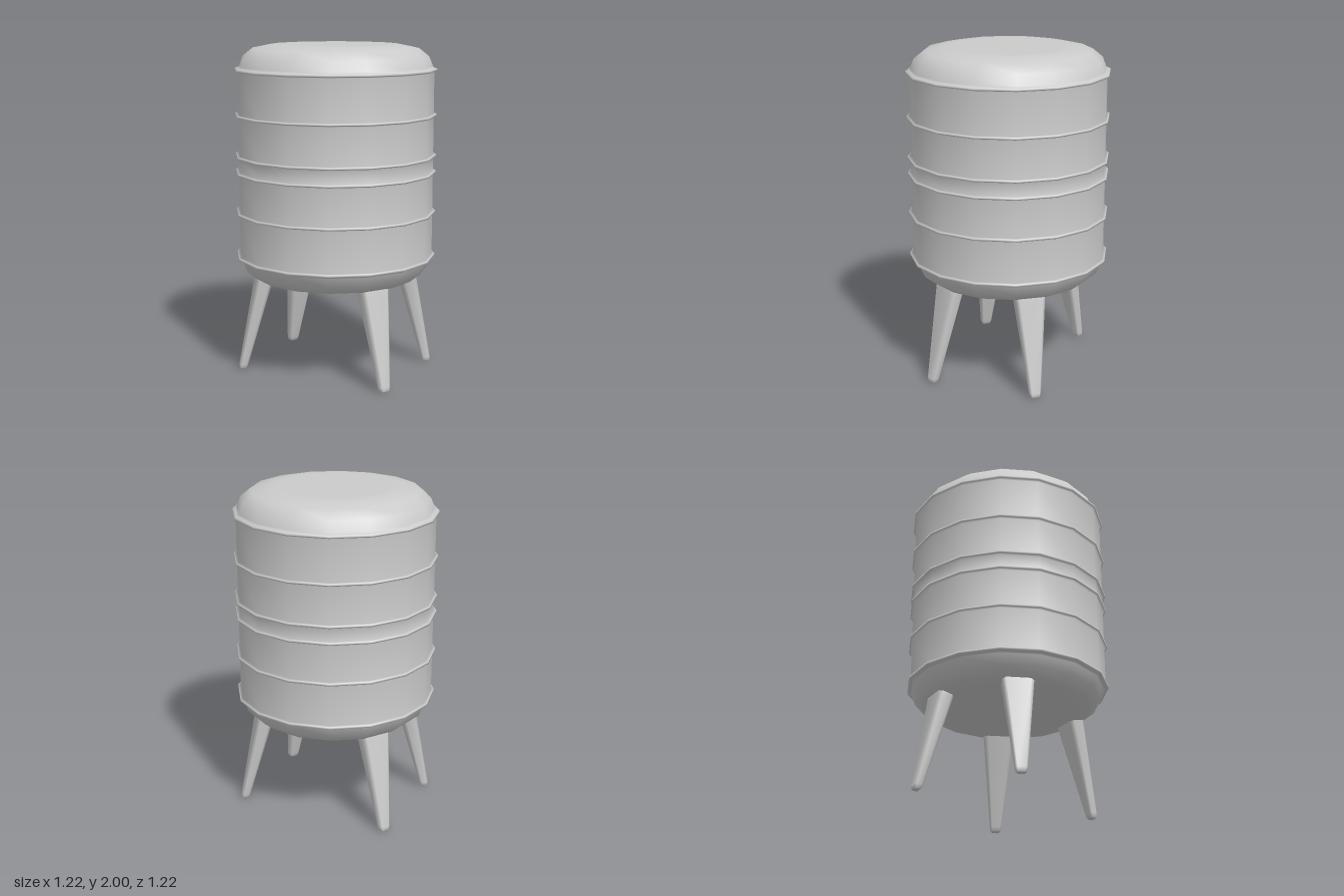
import * as THREE from 'three';

const material = new THREE.MeshStandardMaterial({ color: 0xcccccc });

// Sixteen-sided drum: rounded underside, banded wall and domed lid in one profile
function drumGeometry() {
  const wall = 0.593, rim = 0.61;
  const profile = [[0, 0.565], [0.3, 0.565], [0.41, 0.572], [0.5, 0.592], [0.56, 0.64], [0.583, 0.7]];
  for (const y of [0.72, 0.99, 1.235, 1.335, 1.58, 1.85]) {
    profile.push([wall, y - 0.011], [rim, y - 0.007], [rim, y + 0.007], [wall, y + 0.011]);
  }
  profile.push([0.583, 1.872], [0.56, 1.93], [0.5, 1.978], [0.39, 2], [0.33, 2], [0, 2]);
  return new THREE.LatheGeometry(profile.map(([r, y]) => new THREE.Vector2(r, y)), 16);
}

// Tapered, splayed leg with a chamfered rectangular section; local +x points outward
function legGeometry() {
  // [height, distance from the axis, half depth, half width]
  const sections = [
    [0, 0.58, 0.014, 0.02],
    [0.008, 0.58, 0.022, 0.029],
    [0.03, 0.576, 0.026, 0.034],
    [0.57, 0.447, 0.05, 0.09],
    [0.64, 0.43, 0.053, 0.096],
  ];
  const positions = [], indices = [], n = 8;
  for (const [y, r, a, b] of sections) {
    const c = a * 0.4;
    const ring = [[a, b - c], [a - c, b], [c - a, b], [-a, b - c], [-a, c - b], [c - a, -b], [a - c, -b], [a, c - b]];
    for (const [x, z] of ring) positions.push(r + x, y, z);
  }
  for (let s = 0; s < sections.length - 1; s++) {
    for (let i = 0; i < n; i++) {
      const p = s * n + i, q = s * n + (i + 1) % n;
      indices.push(p, p + n, q, q, p + n, q + n);
    }
  }
  // Foot and top caps
  const top = (sections.length - 1) * n;
  for (let i = 1; i < n - 1; i++) {
    indices.push(0, i, i + 1, top, top + i + 1, top + i);
  }
  const geometry = new THREE.BufferGeometry();
  geometry.setAttribute('position', new THREE.Float32BufferAttribute(positions, 3));
  geometry.setIndex(indices);
  geometry.computeVertexNormals();
  return geometry;
}

export function createModel() {
  const model = new THREE.Group();
  model.name = 'bandedDrumOnLegs';

  const drum = new THREE.Mesh(drumGeometry(), material);
  drum.name = 'drum';
  model.add(drum);

  // Four legs, mirrored about both axes
  const leg = legGeometry();
  const splay = Math.atan2(0.325, 0.48);
  const angles = { frontLeftLeg: -splay, backLeftLeg: splay, frontRightLeg: Math.PI + splay, backRightLeg: Math.PI - splay };
  for (const [name, angle] of Object.entries(angles)) {
    const mesh = new THREE.Mesh(leg, material);
    mesh.name = name;
    mesh.rotation.y = angle;
    model.add(mesh);
  }
  return model;
}
